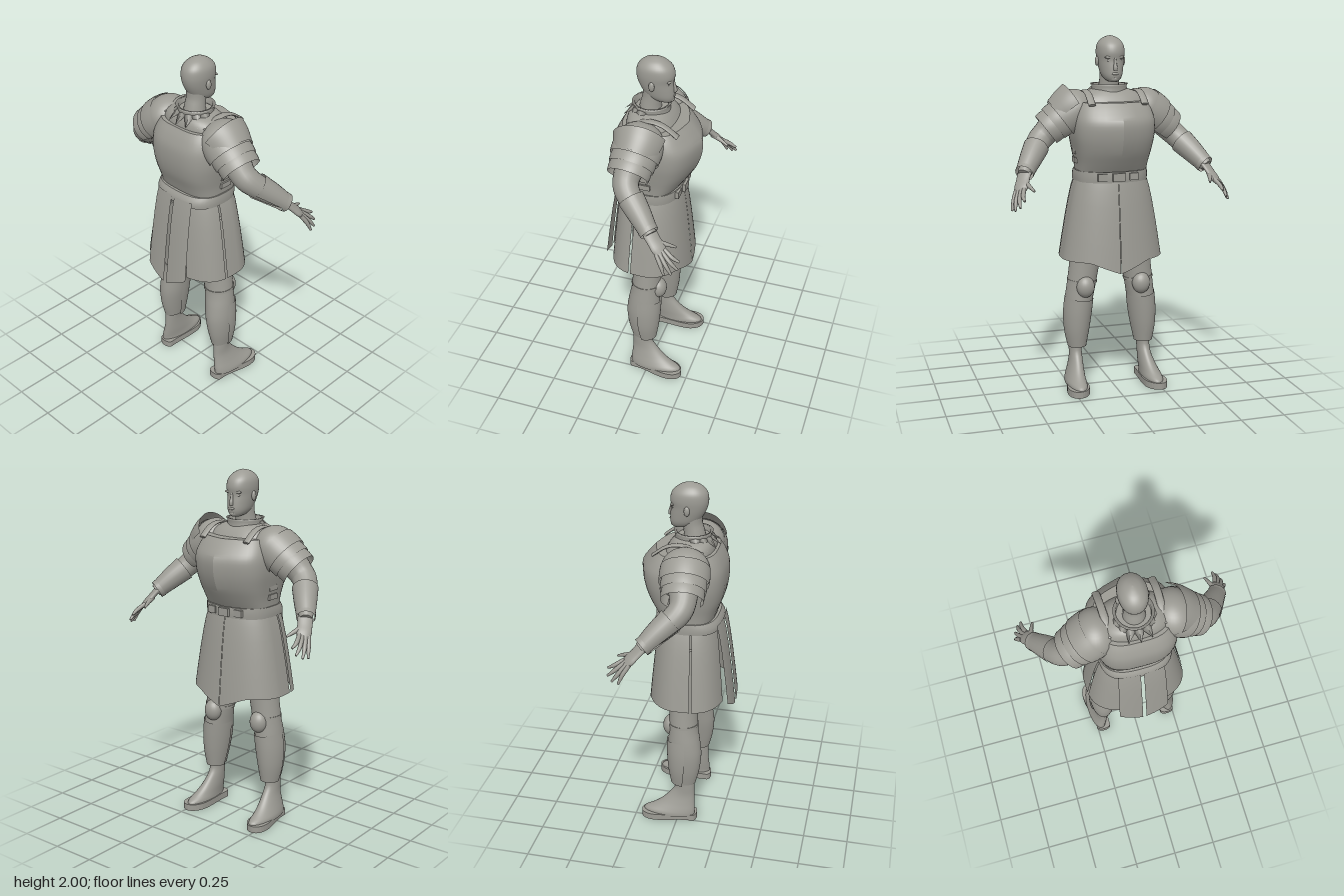
import * as THREE from 'three';
import { toCreasedNormals } from 'three/addons/utils/BufferGeometryUtils.js';

const steel = new THREE.MeshStandardMaterial({ color: 0x9c9b94, side: THREE.DoubleSide });
steel.name = 'warm grey';
const V = (x, y, z) => new THREE.Vector3(x, y, z);

function add(parent, name, geometry, x = 0, y = 0, z = 0) {
  const mesh = new THREE.Mesh(geometry, steel);
  mesh.name = name;
  mesh.position.set(x, y, z);
  parent.add(mesh);
  return mesh;
}

// Skin through rings of points; closed rings also get end caps.
function loft(rings, closed = true, crease = 0) {
  const n = rings[0].length, pos = [], idx = [];
  rings.forEach(r => r.forEach(p => pos.push(p.x, p.y, p.z)));
  for (let j = 0; j < rings.length - 1; j++)
    for (let i = 0; i < (closed ? n : n - 1); i++) {
      const a = j * n + i, b = j * n + (i + 1) % n;
      idx.push(a, b, b + n, a, b + n, a + n);
    }
  if (closed) [0, rings.length - 1].forEach((j, top) => {
    const c = rings[j].reduce((s, p) => s.add(p), V(0, 0, 0)).divideScalar(n);
    const base = pos.length / 3;
    pos.push(c.x, c.y, c.z);
    rings[j].forEach(p => pos.push(p.x, p.y, p.z));
    for (let i = 0; i < n; i++) {
      const a = base + 1 + i, b = base + 1 + (i + 1) % n;
      top ? idx.push(base, a, b) : idx.push(base, b, a);
    }
  });
  const g = new THREE.BufferGeometry();
  g.setAttribute('position', new THREE.Float32BufferAttribute(pos, 3));
  g.setIndex(idx);
  g.computeVertexNormals();
  return crease ? toCreasedNormals(g, crease) : g;
}

// Sample a table of section values smoothly.
function smooth(rows, steps) {
  const at = (i, k) => rows[Math.min(Math.max(i, 0), rows.length - 1)][k];
  return Array.from({ length: steps + 1 }, (_, s) => {
    const f = s / steps * (rows.length - 1), i = Math.min(Math.floor(f), rows.length - 2), t = f - i;
    return rows[0].map((_, k) => {
      const [a, b, c, d] = [at(i - 1, k), at(i, k), at(i + 1, k), at(i + 2, k)];
      return b + 0.5 * t * (c - a + t * (2 * a - 5 * b + 4 * c - d + t * (3 * (b - c) + d - a)));
    });
  });
}

// Horizontal section: half width w, front zf, back zb; p and pf square the back and front, ridge pinches the front.
function section([y, w, zf, zb, cx = 0], p = 1, ridge = 0, pf = p, n = 40) {
  const mid = (zf + zb) / 2, h = (zb - zf) / 2;
  return Array.from({ length: n }, (_, i) => {
    const a = i / n * Math.PI * 2, front = Math.cos(a) < 0;
    const pw = v => Math.sign(v) * Math.abs(v) ** (front ? pf : p);
    const sx = pw(Math.sin(a)), c = pw(Math.cos(a));
    return V(cx + w * sx, y, mid + h * c * (front ? 1 - ridge * Math.abs(sx) : 1));
  });
}
const body = (rows, steps, p, ridge, crease, pf) =>
  loft(smooth(rows, steps).map(r => section(r, p, ridge, pf)), true, crease);

// Limb or shell along points [x, y, z, radius]; ref is the direction of angle 0.
function tube(rows, { steps = 12, ref = V(0, 0, -1), ratio = 1, arc = 0, n = 20 } = {}) {
  const s = smooth(rows, steps), pts = s.map(r => V(r[0], r[1], r[2]));
  const rings = pts.map((p, j) => {
    const t = pts[Math.min(j + 1, steps)].clone().sub(pts[Math.max(j - 1, 0)]).normalize();
    const u = ref.clone().addScaledVector(t, -ref.dot(t)).normalize(), b = t.clone().cross(u);
    return Array.from({ length: arc ? n + 1 : n }, (_, i) => {
      const a = arc ? (i / n * 2 - 1) * arc : i / n * Math.PI * 2, r = s[j][3];
      return p.clone().addScaledVector(u, Math.cos(a) * r).addScaledVector(b, Math.sin(a) * r * ratio);
    });
  });
  return loft(rings, !arc);
}

// Skirt panel between two angles (0 = back); hem gives the bottom height across it, out lifts it off the skirt.
function panel(a0, a1, hem, out = 0, top = 1.22) {
  const rows = [1, 0.75, 0.5, 0.3, 0.12, 0];
  return loft(rows.map(t => Array.from({ length: 17 }, (_, i) => {
    const a = a0 + (a1 - a0) * i / 16, f = t ** 0.75, c = Math.cos(a), back = c > 0;
    const w = out ? 0.25 + 0.03 * f : 0.2 + 0.09 * f;
    const zb = 0.195 + 0.05 * f + out * (0.4 + 0.6 * f), zf = 0.14 + 0.06 * f;
    const z = back ? zb * c ** 0.6 : -zf * Math.abs(c) ** 0.95;
    return V(w * Math.sin(a) ** (back ? 0.85 : 1), top + (hem(i / 16) - top) * t, z);
  })), false);
}

function buildSide(side) {
  const g = new THREE.Group();
  g.name = side > 0 ? 'leftSide' : 'rightSide';
  // Leg, rows of height, half width, front, back, centre x
  add(g, 'leg', body([[0.24, .046, -.045, .098, .2], [0.33, .063, -.06, .12, .199], [0.43, .076, -.065, .13, .193],
    [0.52, .08, -.062, .12, .184], [0.61, .083, -.06, .105, .17], [0.75, .087, -.062, .102, .15],
    [0.95, .09, -.07, .11, .13], [1.1, .09, -.08, .12, .11]], 28));
  // Shoe rising into the ankle
  add(g, 'shoe', body([[0.03, .056, -.205, .1, .226], [0.05, .055, -.198, .1, .226], [0.075, .05, -.15, .1, .222],
    [0.11, .044, -.1, .097, .215], [0.16, .037, -.052, .094, .208], [0.21, .036, -.02, .093, .206],
    [0.27, .039, -.02, .093, .204]], 20));
  // Greave and knee cap
  add(g, 'greave', tube([[.2, .235, .018, .064], [.2, .33, .026, .087], [.194, .43, .03, .099], [.184, .525, .028, .1]],
    { ratio: 0.82, arc: 1.75 }));
  const knee = add(g, 'kneeCap', new THREE.SphereGeometry(1, 24, 16), .165, .6, -.05);
  knee.scale.set(.052, .062, .047);
  add(g, 'kneeStrap', tube([[.168, .615, .022, .086], [.167, .63, .022, .086]], { steps: 1 }));
  const shape = new THREE.Shape();
  shape.moveTo(.17, -.09);
  shape.bezierCurveTo(.175, -.118, .25, -.118, .255, -.09);
  shape.bezierCurveTo(.25, -.01, .292, .06, .292, .14);
  shape.bezierCurveTo(.29, .235, .2, .24, .17, .15);
  shape.bezierCurveTo(.155, .09, .175, 0, .17, -.09);
  const sole = new THREE.ExtrudeGeometry(shape, { depth: .038, bevelEnabled: false, curveSegments: 12 });
  add(g, 'sole', sole.rotateX(-Math.PI / 2));

  // Arm and forearm guard
  add(g, 'arm', tube([[.2, 1.61, .04, .09], [.29, 1.54, .05, .083], [.36, 1.47, .06, .07], [.405, 1.425, .04, .066],
    [.465, 1.35, -.04, .056], [.525, 1.275, -.125, .034]], { steps: 24 }));
  add(g, 'bracer', tube([[.425, 1.4, .012, .071], [.47, 1.345, -.05, .062], [.515, 1.287, -.11, .05]],
    { arc: 2.9, steps: 8 }));
  add(g, 'cuff', tube([[.51, 1.293, -.103, .053], [.522, 1.28, -.12, .051]], { arc: 3.1, steps: 2 }));
  // Hand with fingers and thumb
  add(g, 'palm', tube([[.52, 1.28, -.12, .018], [.537, 1.245, -.15, .017], [.55, 1.215, -.178, .018],
    [.565, 1.187, -.203, .011]], { ref: V(.42, .72, -.38), ratio: 2.3, steps: 10 }));
  [[[.578, 1.2, -.172], [.6, 1.148, -.205], [.612, 1.1, -.225]],
    [[.567, 1.2, -.186], [.592, 1.148, -.23], [.602, 1.105, -.262]],
    [[.555, 1.205, -.197], [.577, 1.16, -.25], [.58, 1.125, -.29]],
    [[.541, 1.21, -.205], [.558, 1.18, -.255], [.557, 1.16, -.293]],
    [[.53, 1.24, -.152], [.512, 1.222, -.21], [.496, 1.203, -.255]]].forEach((f, i) => {
    const r = [i < 4 ? .0115 : .017, .0115, .006];
    add(g, i < 4 ? 'finger' : 'thumb', tube(f.map((p, k) => [...p, r[k]]), { steps: 8, n: 10 }));
  });

  // Overlapping shoulder lames
  const outer = V(1, 1, 0), axis = t => [.2 + .15 * t, 1.6 - .115 * t, .04 + .015 * t];
  const dome = add(g, 'shoulderCap', new THREE.SphereGeometry(1, 32, 20), .205, 1.595, .04);
  dome.scale.set(.115, .115, .13);
  [[0, .5], [.4, .76], [.68, 1.03]].forEach(([t0, t1]) => {
    const r = .123 - .027 * t0;
    add(g, 'shoulderLame', tube([[...axis(t0), r - .003], [...axis((t0 + t1) / 2), r], [...axis(t1), r - .003]],
      { ref: outer, ratio: 1.1, arc: 2.3, steps: 4, n: 32 }));
  });
  if (side > 0) add(g, 'raisedShoulderGuard', tube([[.192, 1.607, .04, .148], [.225, 1.588, .04, .138], [.28, 1.55, .045, .118]],
    { ref: outer, arc: 1.3, steps: 6, n: 28 }));
  // Shoulder strap and side buckles
  add(g, 'strap', tube([[.15, 1.635, -.15, .008], [.15, 1.69, -.07, .008], [.147, 1.7, .02, .008], [.142, 1.66, .12, .008]],
    { ref: V(0, 1, 0), ratio: 2.6, n: 12 }));
  [1.32, 1.37].forEach(y => add(g, 'sideBuckle', new THREE.BoxGeometry(.03, .03, .07), .197, y, .02));
  // Skirt panels, pointed towards the middle at front and back
  add(g, 'backSkirtPanel', panel(.02, .48, u => .7 + .065 * u, .045, 1.24));
  add(g, 'sideSkirtPanel', panel(.36, 1.38, () => .765));
  add(g, 'frontSkirtPanel', panel(1.42, Math.PI - .005, u => .765 - .065 * Math.max(0, (u - .65) / .35)));
  g.scale.x = side;
  return g;
}

function buildHead() {
  const g = new THREE.Group();
  g.name = 'head';
  add(g, 'skull', body([[1.752, .022, -.07, -.015], [1.765, .042, -.08, .03], [1.79, .057, -.086, .07],
    [1.83, .066, -.084, .098], [1.87, .072, -.08, .115], [1.91, .076, -.085, .121], [1.95, .071, -.073, .113],
    [1.98, .049, -.04, .085], [1.995, .022, -.008, .05], [2, .003, .015, .022]], 36, .94));
  add(g, 'neck', tube([[0, 1.65, .05, .068], [0, 1.72, .045, .058], [0, 1.78, .035, .053], [0, 1.85, .035, .055]]));
  // Face
  add(g, 'nose', tube([[0, 1.815, -.083, .014], [0, 1.83, -.083, .015], [0, 1.85, -.08, .011], [0, 1.88, -.076, .008]],
    { ratio: .8, n: 10 }));
  const blob = (name, x, y, z, sx, sy, sz) =>
    add(g, name, new THREE.SphereGeometry(1, 16, 10), x, y, z).scale.set(sx, sy, sz);
  blob('lips', 0, 1.797, -.081, .02, .008, .009);
  blob('chin', 0, 1.768, -.07, .022, .014, .014);
  [-1, 1].forEach(s => {
    blob('brow', s * .03, 1.885, -.066, .026, .008, .011);
    blob('eye', s * .03, 1.868, -.064, .013, .007, .008);
    blob('ear', s * .075, 1.862, .018, .011, .027, .016);
  });
  return g;
}

export function createModel() {
  const g = new THREE.Group();
  g.name = 'armouredFigure';
  g.add(buildHead(), buildSide(1), buildSide(-1));
  // Torso under the armour, and hips
  add(g, 'undershirt', body([[1.5, .2, -.13, .16], [1.6, .2, -.12, .165], [1.66, .185, -.09, .16],
    [1.695, .14, -.06, .145], [1.71, .09, -.04, .12]], 16, .85));
  add(g, 'hips', body([[.88, .1, -.07, .1], [1, .17, -.11, .14], [1.25, .18, -.12, .15]], 10));
  // Cuirass with a central front ridge
  add(g, 'cuirass', body([[1.25, .195, -.135, .17], [1.31, .2, -.175, .19], [1.38, .212, -.215, .215],
    [1.46, .225, -.24, .228], [1.54, .226, -.242, .226], [1.6, .212, -.205, .205], [1.645, .19, -.165, .178]],
  24, .62, .27, .5, .5));
  // Waist belt with buckle and plates
  add(g, 'belt', body([[1.205, .206, -.148, .212], [1.235, .207, -.15, .21], [1.265, .203, -.148, .19]], 4, .72, .1, .6));
  add(g, 'buckle', new THREE.BoxGeometry(.07, .045, .02), 0, 1.237, -.152);
  [-.09, .09].forEach(x => add(g, 'beltPlate', new THREE.BoxGeometry(.05, .04, .02), x, 1.237, -.138));
  // Collar ring and jagged leaves round its back
  add(g, 'collar', new THREE.LatheGeometry([[.115, 1.66], [.1, 1.685], [.098, 1.725], [.106, 1.737], [.09, 1.735],
    [.086, 1.68]].map(p => new THREE.Vector2(...p)), 40), 0, 0, .04);
  for (let i = -3; i <= 3; i++) {
    const leaf = new THREE.ConeGeometry(.032, .08, 4).scale(1, 1, .25).rotateX(Math.PI / 2 + .7);
    add(g, 'collarLeaf', leaf, Math.sin(i * .42) * .125, 1.69, .04 + Math.cos(i * .42) * .12).rotation.y = i * .42;
  }
  return g;
}
